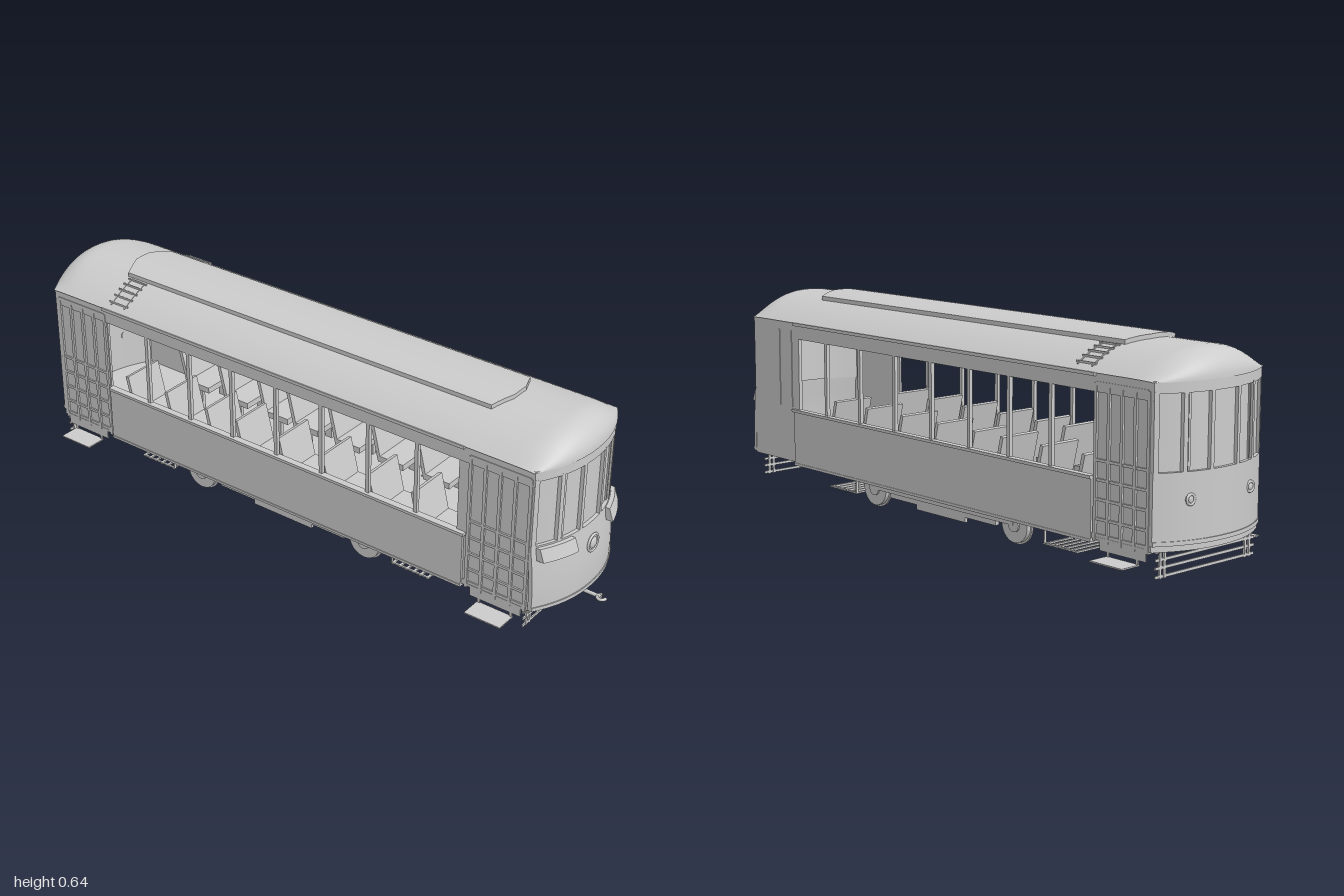
import * as THREE from 'three';

const HALF = 0.215;
const mat = new THREE.MeshStandardMaterial({ color: 0xcccccc, side: THREE.DoubleSide });

// Curved plan of each end: x of the end face at a given z (dir is +1 or -1)
const endX = (dir, z) => dir * ((dir > 0 ? 0.862 : 0.928) + 0.068 * (1 - Math.min(1, Math.abs(z) / 0.22) ** 2.2));
// Slight belly on the lower part of the +x end
const belly = (dir, y) => (dir > 0 && y < 0.3 ? 0.014 * Math.sin(((0.3 - y) / 0.2) * Math.PI * 0.6) : 0);
// Arched roof section
const arch = (z) => 0.547 + 0.077 * (1 - Math.min(1, Math.abs(z) / 0.222) ** 2.2);

function warp(geo, rule) {
  const p = geo.attributes.position, v = new THREE.Vector3();
  for (let i = 0; i < p.count; i++) {
    rule(v.fromBufferAttribute(p, i));
    p.setXYZ(i, v.x, v.y, v.z);
  }
  geo.computeVertexNormals();
  return geo;
}

export function createModel() {
  const tram = new THREE.Group();
  tram.name = 'tram';

  const add = (name, geo, parent = tram) => {
    const m = new THREE.Mesh(geo, mat);
    m.name = name;
    parent.add(m);
    return m;
  };
  const box = (name, x0, x1, y0, y1, z0, z1, parent) => {
    const m = add(name, new THREE.BoxGeometry(x1 - x0, y1 - y0, Math.abs(z1 - z0)), parent);
    m.position.set((x0 + x1) / 2, (y0 + y1) / 2, (z0 + z1) / 2);
    return m;
  };
  const rod = (name, r, len, axis, x, y, z, sides = 24) => {
    const g = new THREE.CylinderGeometry(r, r, len, sides);
    if (axis === 'x') g.rotateZ(-Math.PI / 2);
    if (axis === 'z') g.rotateX(Math.PI / 2);
    add(name, g).position.set(x, y, z);
  };
  // Panel bent to follow the curved end
  const bent = (name, dir, y0, y1, z0, z1, out, thick) => {
    const g = new THREE.BoxGeometry(thick, y1 - y0, z1 - z0, 1, 8, Math.max(2, Math.ceil((z1 - z0) / 0.02)));
    g.translate(0, (y0 + y1) / 2, (z0 + z1) / 2);
    add(name, warp(g, (v) => { v.x += endX(dir, v.z) + dir * (out + belly(dir, v.y)); }));
  };
  // Round lamp on an end
  const lamp = (name, dir, r, y, z) => {
    const x = endX(dir, z) + dir * belly(dir, y);
    add(name + 'Rim', new THREE.TorusGeometry(r, 0.004, 10, 32).rotateY(Math.PI / 2)).position.set(x + dir * 0.002, y, z);
    rod(name + 'Body', r, 0.014, 'x', x - dir * 0.004, y, z, 32);
    const lens = new THREE.SphereGeometry(r * 0.7, 24, 12).scale(0.4, 1, 1);
    add(name + 'Lens', lens).position.set(x + dir * 0.002, y, z);
  };

  // Floor following the plan of the car
  const plan = [];
  for (let i = 0; i <= 24; i++) plan.push(new THREE.Vector2(endX(1, HALF * (i / 12 - 1)) - 0.004, HALF * (i / 12 - 1)));
  for (let i = 24; i >= 0; i--) plan.push(new THREE.Vector2(endX(-1, HALF * (i / 12 - 1)) + 0.004, HALF * (i / 12 - 1)));
  const floor = new THREE.ExtrudeGeometry(new THREE.Shape(plan), { depth: 0.016, bevelEnabled: false });
  floor.rotateX(Math.PI / 2);
  add('floor', floor).position.y = 0.107;

  // Roof: arch section closed by a rounded dome at each end
  const roof = new THREE.PlaneGeometry(2, 2, 72, 32).rotateX(-Math.PI / 2);
  add('roof', warp(roof, (v) => {
    const z = v.z * 0.222;
    const a = endX(-1, z) - 0.002, b = endX(1, z) + 0.002, half = (b - a) / 2;
    const off = half * Math.sin((v.x * Math.PI) / 2);
    const t = Math.min(1, (half - Math.abs(off)) / 0.09);
    const k = Math.sqrt(Math.max(0, 1 - (1 - t) ** 2));
    v.set((a + b) / 2 + off, 0.545 + (arch(z) - 0.545) * k, z);
  }));

  // Raised panel on the roof, with tapered ends
  const deck = new THREE.BoxGeometry(1.42, 0.03, 0.2, 1, 1, 20);
  add('roofPanel', warp(deck, (v) => {
    v.x = Math.sign(v.x) * (0.71 - 0.03 * Math.max(0, (Math.abs(v.z) - 0.03) / 0.07)) - 0.035;
    v.y += arch(v.z) - 0.002;
  }));

  for (const s of [-1, 1]) {
    const zo = s * HALF, zi = s * (HALF - 0.012);
    // Side walls with open windows
    box('sidePanel', -0.71, 0.645, 0.08, 0.26, s * 0.219, zi);
    box('windowHeader', -0.93, 0.865, 0.495, 0.548, zo, zi);
    box('sillRail', -0.71, 0.65, 0.256, 0.265, s * 0.225, zi);
    box('bottomRail', -0.71, 0.645, 0.08, 0.088, s * 0.221, zo);
    box('gutter', -0.72, 0.64, 0.538, 0.548, s * 0.224, zo);
    for (let i = 1; i < 8; i++) {
      const x = -0.715 + i * 0.1705;
      box('windowPost', x - 0.006, x + 0.006, 0.26, 0.5, zo, zi);
    }
    // Roof ladder
    for (let i = 0; i < 5; i++) {
      const z = 0.108 + i * 0.022;
      box('ladderRung', -0.705, -0.63, arch(z) - 0.002, arch(z) + 0.004, s * z, s * (z + 0.004));
    }
    for (const x of [-0.695, -0.64]) {
      const rail = new THREE.BoxGeometry(0.005, 0.005, 0.1, 1, 1, 6);
      add('ladderRail', warp(rail, (v) => { v.x += x; v.z += s * 0.155; v.y += arch(v.z); }));
    }

    // End sections: folding doors, or a plain wall at the rear right
    for (const [x0, x1, door] of [[-0.93, -0.71, true], [0.62, 0.865, s > 0]]) {
      if (!door) {
        box('plainWall', x0, x1, 0.09, 0.5, zo, zi);
        for (const x of [0.66, 0.725]) box('wallStrip', x - 0.003, x + 0.003, 0.27, 0.52, s * 0.217, zi);
        continue;
      }
      box('vestibuleWall', x0, x1, 0.09, 0.5, s * (HALF - 0.004), zi);
      const d0 = x0 < 0 ? -0.915 : 0.66, d1 = d0 + 0.195;
      for (let i = 0; i < 5; i++) {
        const x = d0 + (i * (d1 - d0)) / 4;
        box('doorStile', x - 0.005, x + 0.005, 0.085, 0.52, s * 0.217, zi);
      }
      box('doorTopRail', d0, d1, 0.512, 0.524, s * 0.217, zi);
      for (let j = 0; j < 5; j++) {
        const y = 0.09 + j * 0.054;
        box('doorRail', d0, d1, y, y + 0.008, s * 0.216, zi);
      }
      // Boarding step
      const c = x0 < 0 ? -0.825 : 0.76;
      box('stepRiser', c - 0.085, c + 0.085, 0.062, 0.095, zo, s * 0.211);
      for (const e of [-1, 1]) box('stepHanger', c + e * 0.054 - 0.004, c + e * 0.054 + 0.004, 0.046, 0.07, zo, s * 0.211);
      box('step', c - 0.06, c + 0.06, 0.046, 0.05, s * 0.211, s * 0.279);
    }
  }

  // Curved ends
  for (const d of [-1, 1]) {
    const base = d > 0 ? 0.095 : 0.108;
    bent('endLowerWall', d, base, 0.305, -HALF, HALF, -0.006, 0.012);
    bent('endHeader', d, 0.515, 0.548, -HALF, HALF, -0.006, 0.012);
    bent('endWindows', d, 0.3, 0.52, -0.21, 0.21, -0.014, 0.006);
    bent('endBumper', d, base, base + 0.012, -HALF, HALF, -0.002, 0.01);
    for (const z of [-0.208, -0.135, -0.052, 0.052, 0.135, 0.208])
      bent('endPost', d, 0.3, 0.52, z - 0.006, z + 0.006, -0.007, 0.014);
    for (const z of [-0.12, 0.12]) bent('windowBar', d, 0.305, 0.515, z - 0.003, z + 0.003, -0.01, 0.008);

    // Slatted safety guard under the end
    const gx = d > 0 ? 0.845 : -0.93;
    for (const y of [0.021, 0.045, 0.067, 0.09])
      box('guardSlat', gx - 0.002, gx + 0.002, y - 0.004, y + 0.004, -0.2, 0.2);
    for (const z of [-0.18, -0.163, 0.163, 0.18])
      box('guardUpright', gx - 0.003, gx + 0.003, 0.015, 0.1, z - 0.004, z + 0.004);
  }
  lamp('headlamp', 1, 0.026, 0.238, 0);
  for (const z of [-0.12, 0.12]) lamp('tailLamp', -1, 0.014, 0.23, z);

  // Scoops on the front end, deeper at the bottom
  for (const s of [-1, 1]) {
    const g = new THREE.BoxGeometry(0.03, 0.04, 0.11, 1, 1, 8).translate(0, 0.28, s * 0.147);
    add('endScoop', warp(g, (v) => {
      const outward = v.x > 0 ? (v.y > 0.28 ? 0.014 : 0.028) : 0;
      v.x = endX(1, v.z) + outward;
    }));
  }

  // Coupler
  rod('couplerBar', 0.006, 0.11, 'x', 0.925, 0.067, 0, 12);
  box('couplerSocket', 0.875, 0.905, 0.056, 0.078, -0.015, 0.015);
  box('couplerHanger', 0.876, 0.89, 0.07, 0.095, -0.005, 0.005);
  const hook = add('couplerHook', new THREE.TorusGeometry(0.013, 0.005, 8, 16, 4.4).rotateX(Math.PI / 2));
  hook.position.set(0.982, 0.067, 0);

  // Wheels and truck frames
  for (const s of [-1, 1]) {
    for (const x of [-0.365, 0.275]) {
      rod('wheelTread', 0.054, 0.018, 'z', x, 0.06, s * 0.172, 36);
      rod('wheelFlange', 0.06, 0.006, 'z', x, 0.06, s * 0.165, 36);
      rod('wheelHub', 0.022, 0.012, 'z', x, 0.06, s * 0.18, 20);
    }
    box('truckFrame', -0.365, 0.275, 0.058, 0.072, s * 0.178, s * 0.188);
    box('truckBeam', -0.285, 0.2, 0.042, 0.092, s * 0.168, s * 0.182);
    box('truckLowerBeam', -0.15, 0.075, 0.026, 0.045, s * 0.17, s * 0.18);
  }

  // Slatted life guards ahead of the wheels
  for (const d of [-1, 1]) {
    const cx = -0.055;
    for (let i = 0; i < 6; i++) {
      const x = cx + d * (0.435 + i * 0.025);
      box('lifeGuardSlat', x - 0.004, x + 0.004, 0.024, 0.029, -0.18, 0.18);
    }
    const x = cx + d * 0.43, end = x + d * 0.135;
    for (const z of [-0.175, 0.175]) {
      box('lifeGuardHanger', x - 0.002, x + 0.002, 0.024, 0.095, z - 0.004, z + 0.004);
      box('lifeGuardArm', Math.min(x, end), Math.max(x, end), 0.024, 0.029, z - 0.003, z + 0.003);
    }
  }

  // Rows of reclined seats on both sides of the aisle
  for (const x of [-0.625, -0.46, -0.295, -0.175, -0.01, 0.155, 0.325, 0.485]) {
    for (const s of [-1, 1]) {
      const seat = new THREE.Group();
      seat.name = 'seat';
      seat.position.set(x, 0, s * 0.125);
      box('seatCushion', -0.005, 0.09, 0.18, 0.2, -0.07, 0.07, seat);
      const back = box('seatBack', -0.021, -0.009, 0.183, 0.313, -0.07, 0.07, seat);
      back.rotation.z = 0.24;
      for (const z of [-0.055, 0.055]) box('seatLeg', 0.03, 0.055, 0.1, 0.185, z - 0.006, z + 0.006, seat);
      tram.add(seat);
    }
  }
  return tram;
}
